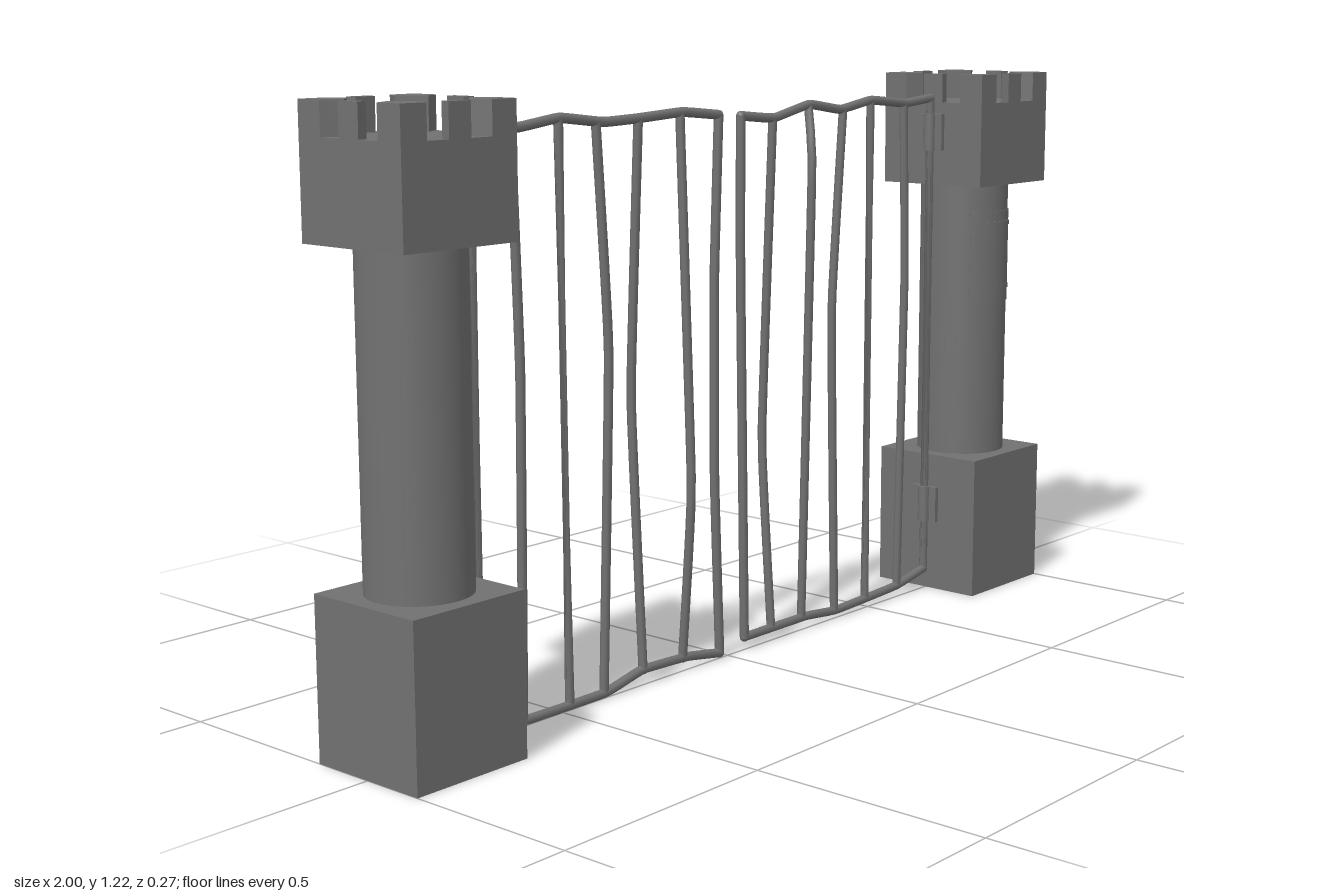
import * as THREE from 'three';

const material = new THREE.MeshStandardMaterial({ color: 0x717171 });
const rodMaterial = new THREE.MeshStandardMaterial({ color: 0x717171, side: THREE.DoubleSide });

function add(parent, name, geometry, x = 0, y = 0, z = 0, mat = material) {
  const mesh = new THREE.Mesh(geometry, mat);
  mesh.name = name;
  mesh.position.set(x, y, z);
  parent.add(mesh);
  return mesh;
}

// Box given by its lower and upper height
function block(parent, name, w, y0, y1, d, x = 0) {
  return add(parent, name, new THREE.BoxGeometry(w, y1 - y0, d), x, (y0 + y1) / 2, 0);
}

// Slightly bent rod through a few [x, y, z] points, with rounded ends
function rod(parent, name, points, radius) {
  const path = points.map(([x, y, z = 0]) => new THREE.Vector3(x, y, z));
  const curve = new THREE.CatmullRomCurve3(path, false, 'catmullrom', 0.15);
  const segments = points.length > 2 ? 10 * (points.length - 1) : 1;
  add(parent, name, new THREE.TubeGeometry(curve, segments, radius, 8), 0, 0, 0, rodMaterial);
  for (const end of [path[0], path.at(-1)]) {
    add(parent, name + 'End', new THREE.SphereGeometry(radius, 10, 8), end.x, end.y, end.z);
  }
}

// Upright prism over a plan outline
function merlonGeometry(outline) {
  const shape = new THREE.Shape(outline.map(([x, y]) => new THREE.Vector2(x, y)));
  return new THREE.ExtrudeGeometry(shape, { depth: 0.066, bevelEnabled: false }).rotateX(-Math.PI / 2);
}

// Merlons are split by radial cuts, so the gaps widen outwards
const cornerMerlon = merlonGeometry(
  [[0.135, 0.076], [0.135, 0.135], [0.076, 0.135], [0.055, 0.098], [0.098, 0.055]]);
const middleMerlon = merlonGeometry(
  [[0.022, 0.113], [0.026, 0.135], [-0.026, 0.135], [-0.022, 0.113]]);

function createPillar(name, x) {
  const pillar = new THREE.Group();
  pillar.name = name;
  pillar.position.x = x;
  block(pillar, 'base', 0.27, 0, 0.325, 0.27);
  add(pillar, 'column', new THREE.CylinderGeometry(0.1025, 0.1025, 0.64, 48), 0, 0.645, 0);
  block(pillar, 'capital', 0.27, 0.965, 1.155, 0.27);
  // Battlements: a corner and a middle tooth for each side
  for (let i = 0; i < 4; i++) {
    const side = new THREE.Group();
    side.name = 'battlementSide';
    side.rotation.y = i * Math.PI / 2;
    add(side, 'cornerMerlon', cornerMerlon, 0, 1.154, 0);
    add(side, 'middleMerlon', middleMerlon, 0, 1.154, 0);
    pillar.add(side);
  }
  return pillar;
}

// Solid curved slab hugging the column; angles run from the front towards +x
function curvedSlab(parent, name, radius, y0, y1, a0, a1) {
  const from = Math.PI / 2 - a1, to = Math.PI / 2 - a0;
  const shape = new THREE.Shape();
  shape.absarc(0, 0, radius, from, to, false);
  shape.absarc(0, 0, 0.095, to, from, true);
  const geometry = new THREE.ExtrudeGeometry(shape, { depth: y1 - y0, bevelEnabled: false, curveSegments: 16 });
  add(parent, name, geometry.rotateX(Math.PI / 2), 0, y1, 0);
}

// Panel wrapped around the front of the column
function createCallPanel() {
  const panel = new THREE.Group();
  panel.name = 'callPanel';
  curvedSlab(panel, 'panelPlate', 0.1045, 0.685, 0.9, -0.82, 0.66);
  curvedSlab(panel, 'panelWindow', 0.1058, 0.72, 0.87, -0.46, 0.38);
  for (const y of [0.715, 0.865]) {
    curvedSlab(panel, 'panelLedge', 0.107, y, y + 0.011, -0.55, 0.45);
  }
  return panel;
}

function createGate(name, side, top, bottom, innerPost, bars) {
  const gate = new THREE.Group();
  gate.name = name;
  rod(gate, 'topRail', top, 0.01);
  rod(gate, 'bottomRail', bottom, 0.01);
  rod(gate, 'innerPost', innerPost, 0.01);
  rod(gate, 'outerPost', [[side * 0.72, bottom.at(-1)[1]], [side * 0.72, 1.165]], 0.0095);
  bars.forEach(points => rod(gate, 'bar', points, 0.0095));
  // Hinges between the outer post and the pillar
  for (const y of [0.207, 1.087]) {
    block(gate, 'hingePlate', 0.014, y - 0.042, y + 0.042, 0.066, side * 0.726);
    add(gate, 'hingeKnuckle', new THREE.CylinderGeometry(0.014, 0.014, 0.084, 12), side * 0.719, y, 0);
  }
  return gate;
}

export function createModel() {
  const model = new THREE.Group();
  model.name = 'castleGate';

  const leftPillar = createPillar('leftPillar', 0.865);
  leftPillar.add(createCallPanel());
  model.add(leftPillar, createPillar('rightPillar', -0.865));

  // Rails run from the middle of the gateway outwards; bars run from top to bottom
  model.add(createGate('rightGate', -1,
    [[-0.028, 1.157], [-0.14, 1.167], [-0.27, 1.16], [-0.37, 1.157], [-0.49, 1.17], [-0.6, 1.157], [-0.72, 1.165]],
    [[-0.026, 0.012], [-0.13, 0.028], [-0.27, 0.033], [-0.38, 0.011], [-0.59, 0.011], [-0.72, 0.016]],
    [[-0.028, 1.157], [-0.042, 0.82], [-0.042, 0.4], [-0.026, 0.012]],
    [
      [[-0.617, 1.158], [-0.602, 0.7], [-0.609, 0.012]],
      [[-0.492, 1.168], [-0.481, 0.012]],
      [[-0.39, 1.157], [-0.36, 0.71], [-0.383, 0.012]],
      [[-0.27, 1.16], [-0.27, 0.6, -0.025], [-0.267, 0.032]],
      [[-0.147, 1.165], [-0.147, 0.4, 0.028], [-0.145, 0.028]],
    ]));

  model.add(createGate('leftGate', 1,
    [[0.042, 1.152], [0.15, 1.143], [0.27, 1.167], [0.38, 1.152], [0.49, 1.168], [0.62, 1.157], [0.72, 1.165]],
    [[0.056, 0.028], [0.27, 0.028], [0.38, 0.018], [0.61, 0.027], [0.72, 0.048]],
    [[0.042, 1.152], [0.042, 0.85], [0.056, 0.028]],
    [
      [[0.147, 1.143], [0.15, 0.45, -0.03], [0.147, 0.028]],
      [[0.267, 1.165], [0.25, 1.03, 0.025], [0.253, 0.028]],
      [[0.39, 1.153], [0.355, 0.71], [0.373, 0.019]],
      [[0.49, 1.167], [0.488, 0.022]],
      [[0.615, 1.157], [0.628, 0.76], [0.612, 0.027]],
    ]));

  return model;
}
